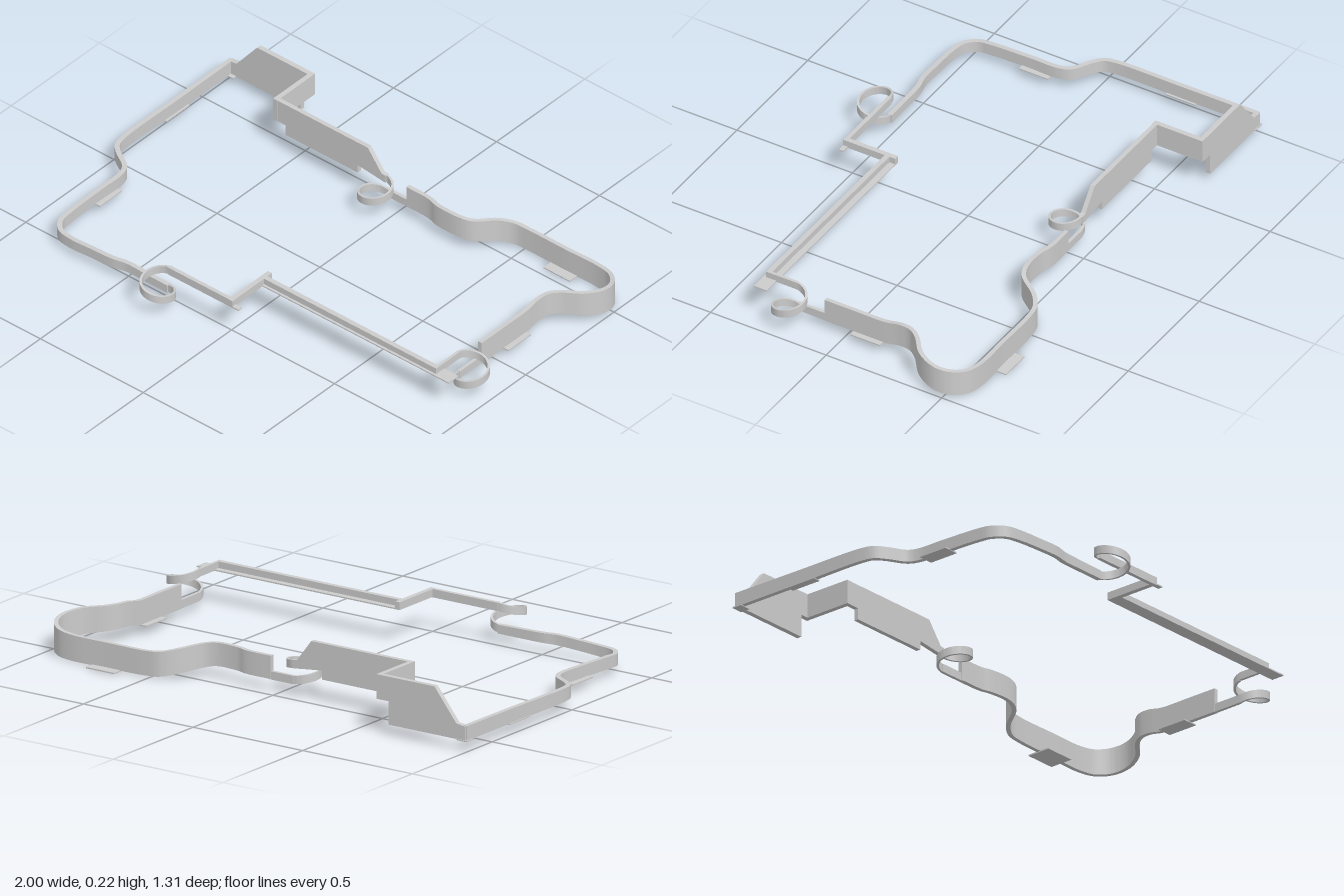
import * as THREE from 'three';
import { toCreasedNormals } from 'three/addons/utils/BufferGeometryUtils.js';

const material = new THREE.MeshStandardMaterial({ color: 0xcccccc, side: THREE.DoubleSide });

// Upright band swept through [x, z, bottom, top] stations with a rectangular section
function band(stations, width) {
  const pos = [], idx = [], n = stations.length;
  const at = (i) => stations[Math.min(Math.max(i, 0), n - 1)];
  for (let i = 0; i < n; i++) {
    const [x, z, lo, hi] = stations[i];
    const a = at(i - 1), b = at(i + 1);
    const d = Math.hypot(b[0] - a[0], b[1] - a[1]) || 1;
    const nx = -(b[1] - a[1]) / d * width / 2, nz = (b[0] - a[0]) / d * width / 2;
    pos.push(x + nx, lo, z + nz, x + nx, hi, z + nz, x - nx, hi, z - nz, x - nx, lo, z - nz);
    if (i === n - 1) break;
    for (let k = 0; k < 4; k++) {
      const p = i * 4 + k, q = i * 4 + (k + 1) % 4;
      idx.push(p, p + 4, q, q, p + 4, q + 4);
    }
  }
  const e = (n - 1) * 4;
  idx.push(0, 1, 2, 0, 2, 3, e, e + 2, e + 1, e, e + 3, e + 2);
  const geo = new THREE.BufferGeometry();
  geo.setAttribute('position', new THREE.Float32BufferAttribute(pos, 3));
  geo.setIndex(idx);
  return toCreasedNormals(geo, 0.6);
}

// Smooth stations through a few key ones
function smooth(keys, steps = 8) {
  const low = new THREE.CatmullRomCurve3(keys.map(([x, z, lo]) => new THREE.Vector3(x, lo, z)));
  const count = (keys.length - 1) * steps, out = [];
  for (let i = 0; i <= count; i++) {
    const p = low.getPoint(i / count);
    const k = Math.min(Math.floor(i / steps), keys.length - 2), f = i / steps - k;
    const h = THREE.MathUtils.lerp(keys[k][3] - keys[k][2], keys[k + 1][3] - keys[k + 1][2], f);
    out.push([p.x, p.z, p.y, p.y + h]);
  }
  return out;
}

// One full turn of a spiral ramp; angle 0 is the back, positive turns go right
function spiral(cx, cz, start, turn, from, to) {
  const out = [], r = 0.063, steps = 48;
  for (let i = 0; i <= steps; i++) {
    const a = start + turn * Math.PI * 2 * i / steps;
    const lo = THREE.MathUtils.lerp(from, to, i / steps);
    out.push([cx + r * Math.sin(a), cz - r * Math.cos(a), lo, lo + 0.032]);
  }
  return out;
}

// Flat panel facing z, outlined by [x, y] points
function panel(points, z, depth) {
  const shape = new THREE.Shape(points.map(([x, y]) => new THREE.Vector2(x, y)));
  return new THREE.ExtrudeGeometry(shape, { depth, bevelEnabled: false }).translate(0, 0, z - depth / 2);
}

// Box given by its limits
function block(x0, x1, y0, y1, z0, z1) {
  return new THREE.BoxGeometry(x1 - x0, y1 - y0, z1 - z0)
    .translate((x0 + x1) / 2, (y0 + y1) / 2, (z0 + z1) / 2);
}

export function createModel() {
  const group = new THREE.Group();
  const add = (name, geometry) => {
    const mesh = new THREE.Mesh(geometry, material);
    mesh.name = name;
    group.add(mesh);
  };

  // Tall stepped walls at the back left
  add('backCornerWall', panel([
    [-0.99, 0.04], [-0.64, 0.04], [-0.64, 0.13], [-0.585, 0.13],
    [-0.585, 0.225], [-0.85, 0.225], [-0.95, 0.1], [-0.99, 0.095],
  ], -0.645, 0.02));
  add('backReturnWall', block(-0.605, -0.585, 0.13, 0.225, -0.655, -0.44));
  add('backInnerWall', panel([
    [-0.605, 0.13], [-0.545, 0.13], [-0.545, 0.085], [-0.195, 0.085], [-0.195, 0.12],
    [-0.06, 0.105], [-0.06, 0.137], [-0.08, 0.14], [-0.145, 0.225], [-0.605, 0.225],
  ], -0.45, 0.018));

  // Three spiral ramps
  add('backSpiral', band(spiral(-0.063, -0.388, 0, 1, 0.105, 0.043), 0.009));
  add('rightSpiral', band(spiral(0.918, 0.21, -Math.PI / 2, -1, 0.037, 0.128), 0.009));
  add('frontSpiral', band(spiral(-0.29, 0.58, 0, -1, 0.128, 0.044), 0.009));

  // Low links from the spirals to the curved wall
  add('backLink', band([[-0.063, -0.451, 0.043, 0.075], [0.045, -0.451, 0.043, 0.075]], 0.013));
  add('rightLink', band([[0.855, 0.085, 0.036, 0.069], [0.855, 0.21, 0.037, 0.069]], 0.013));

  // Long curved wall around the back right
  add('curvedWall', band(smooth([
    [0.04, -0.451, 0.045, 0.135], [0.12, -0.451, 0.045, 0.135], [0.16, -0.447, 0.045, 0.135],
    [0.2, -0.436, 0.045, 0.135], [0.3, -0.436, 0.045, 0.135], [0.35, -0.457, 0.035, 0.128],
    [0.41, -0.537, 0.02, 0.115], [0.46, -0.572, 0.009, 0.105], [0.52, -0.58, 0.005, 0.1],
    [0.7, -0.58, 0.003, 0.1], [0.86, -0.58, 0.002, 0.102], [0.93, -0.562, 0.005, 0.108],
    [0.977, -0.515, 0.013, 0.118], [0.988, -0.455, 0.024, 0.128], [0.958, -0.385, 0.036, 0.138],
    [0.89, -0.325, 0.046, 0.144], [0.863, -0.285, 0.05, 0.146], [0.855, -0.235, 0.048, 0.144],
    [0.855, -0.17, 0.037, 0.132], [0.855, -0.04, 0.036, 0.131], [0.855, 0.09, 0.036, 0.131],
  ]), 0.017));

  // Raised front track with its ledge
  add('rightUpperLink', block(0.849, 0.861, 0.13, 0.16, 0.21, 0.34));
  add('frontLedge', block(0.005, 0.93, 0.13, 0.135, 0.3, 0.355));
  add('frontTrackWall', block(0.005, 0.861, 0.13, 0.16, 0.325, 0.345));
  add('frontReturnWall', block(0.005, 0.025, 0.13, 0.16, 0.3, 0.525));
  add('frontReturnLedge', block(0.005, 0.055, 0.13, 0.135, 0.505, 0.525));
  add('frontUpperLink', block(-0.29, 0.025, 0.128, 0.16, 0.508, 0.524));

  // Low wall around the front left
  add('leftWall', band(smooth([
    [-0.29, 0.517, 0.042, 0.076], [-0.4, 0.517, 0.042, 0.078], [-0.49, 0.518, 0.042, 0.08],
    [-0.55, 0.53, 0.04, 0.08], [-0.65, 0.532, 0.036, 0.076], [-0.75, 0.532, 0.03, 0.072],
    [-0.815, 0.518, 0.028, 0.072], [-0.85, 0.475, 0.028, 0.074], [-0.855, 0.42, 0.031, 0.078],
    [-0.855, 0.25, 0.036, 0.084], [-0.855, 0.13, 0.038, 0.086], [-0.873, 0.088, 0.038, 0.086],
    [-0.945, 0.04, 0.039, 0.088], [-0.975, 0.01, 0.04, 0.09], [-0.986, -0.04, 0.04, 0.092],
    [-0.986, -0.35, 0.04, 0.095], [-0.986, -0.65, 0.04, 0.097],
  ]), 0.019));

  // Flat feet under the walls: [x0, x1, y, z0, z1]
  for (const [x0, x1, y, z0, z1] of [
    [0.63, 0.758, 0, -0.63, -0.532], [0.822, 0.886, 0.032, -0.163, -0.035],
    [-0.888, -0.824, 0.033, 0.16, 0.285], [-1, -0.968, 0.037, -0.39, -0.26],
    [-1, -0.952, 0.037, -0.658, -0.617],
  ]) add('foot', block(x0, x1, y, y + 0.005, z0, z1));

  return group;
}
